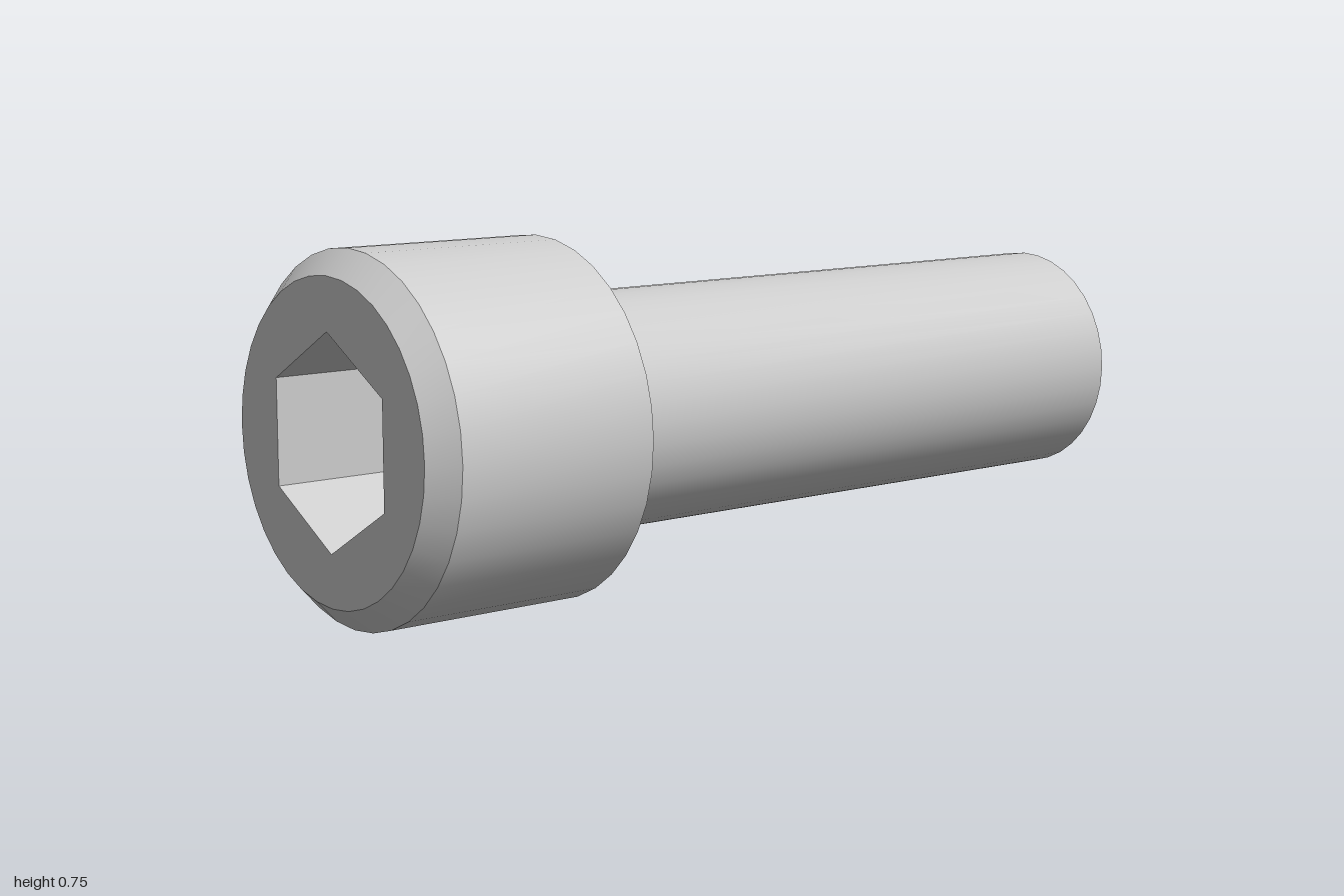
import * as THREE from 'three';
import { toCreasedNormals } from 'three/addons/utils/BufferGeometryUtils.js';

const SEGMENTS = 36;
const HEAD_R = 0.375, SHANK_R = 0.25, CHAMFER = 0.05, FILLET = 0.013;
const FACE_R = HEAD_R - CHAMFER;
const HEX_APOTHEM = 0.188, HEX_R = HEX_APOTHEM / Math.cos(Math.PI / 6);
const SOCKET_Z = 0.75, CAP_DEPTH = 0.078;

const material = new THREE.MeshStandardMaterial({ color: 0xcccccc });

function addMesh(group, name, geometry) {
  const mesh = new THREE.Mesh(geometry, material);
  mesh.name = name;
  group.add(mesh);
}

// Revolve a profile of [radius, z] pairs about the z axis
function revolve(profile, crease = 0.55) {
  const points = profile.map(([r, z]) => new THREE.Vector2(r, z));
  const geometry = new THREE.LatheGeometry(points, SEGMENTS).rotateX(Math.PI / 2);
  return toCreasedNormals(geometry, crease);
}

// Corners of a regular polygon with one corner at the top
function polygon(radius, sides) {
  return Array.from({ length: sides }, (_, i) => {
    const a = Math.PI / 2 + (i / sides) * Math.PI * 2;
    return new THREE.Vector2(radius * Math.cos(a), radius * Math.sin(a));
  });
}

// Flat plate facing +z with a hole through it
function plate(outer, inner, z) {
  const shape = new THREE.Shape(outer);
  shape.holes.push(new THREE.Path(inner));
  return new THREE.ShapeGeometry(shape).translate(0, 0, z);
}

export function createModel() {
  const group = new THREE.Group();
  group.name = 'socketCapScrew';
  const screw = new THREE.Group();
  screw.name = 'screw';
  screw.position.y = HEAD_R;
  group.add(screw);

  // Shank with chamfered tip, and a small fillet running into the head
  const shank = [[0, -1], [SHANK_R - CHAMFER, -1], [SHANK_R, -1 + CHAMFER]];
  for (let i = 0; i <= 4; i++) {
    const a = (i / 4) * Math.PI / 2;
    shank.push([SHANK_R + FILLET * (1 - Math.cos(a)), 0.5 - FILLET * (1 - Math.sin(a))]);
  }
  addMesh(screw, 'shank', revolve(shank));

  // Head underside, side and chamfer
  addMesh(screw, 'head', revolve([
    [SHANK_R + FILLET, 0.5], [HEAD_R, 0.5], [HEAD_R, 1 - CHAMFER], [FACE_R, 1],
  ]));

  // Front face with hexagonal opening
  const hex = polygon(HEX_R, 6);
  addMesh(screw, 'headFace', plate(polygon(FACE_R, SEGMENTS), hex, 1));

  // Socket walls: the negative height turns the faces inward
  const walls = new THREE.CylinderGeometry(HEX_R, HEX_R, SOCKET_Z - 1, 6, 1, true)
    .rotateX(Math.PI / 2).translate(0, 0, (1 + SOCKET_Z) / 2).toNonIndexed();
  walls.computeVertexNormals();
  addMesh(screw, 'socketWalls', walls);

  // Socket floor corners around the dished bottom
  addMesh(screw, 'socketFloor', plate(hex, polygon(HEX_APOTHEM - 0.001, SEGMENTS), SOCKET_Z));

  // Spherical dish at the bottom of the socket
  const r = HEX_APOTHEM - 0.001;
  const sphereR = (r * r + CAP_DEPTH * CAP_DEPTH) / (2 * CAP_DEPTH);
  const maxAngle = Math.asin(r / sphereR);
  const dish = [];
  for (let i = 8; i >= 0; i--) {
    const a = (i / 8) * maxAngle;
    dish.push([sphereR * Math.sin(a), SOCKET_Z - CAP_DEPTH + sphereR * (1 - Math.cos(a))]);
  }
  addMesh(screw, 'socketDish', revolve(dish));

  return group;
}
